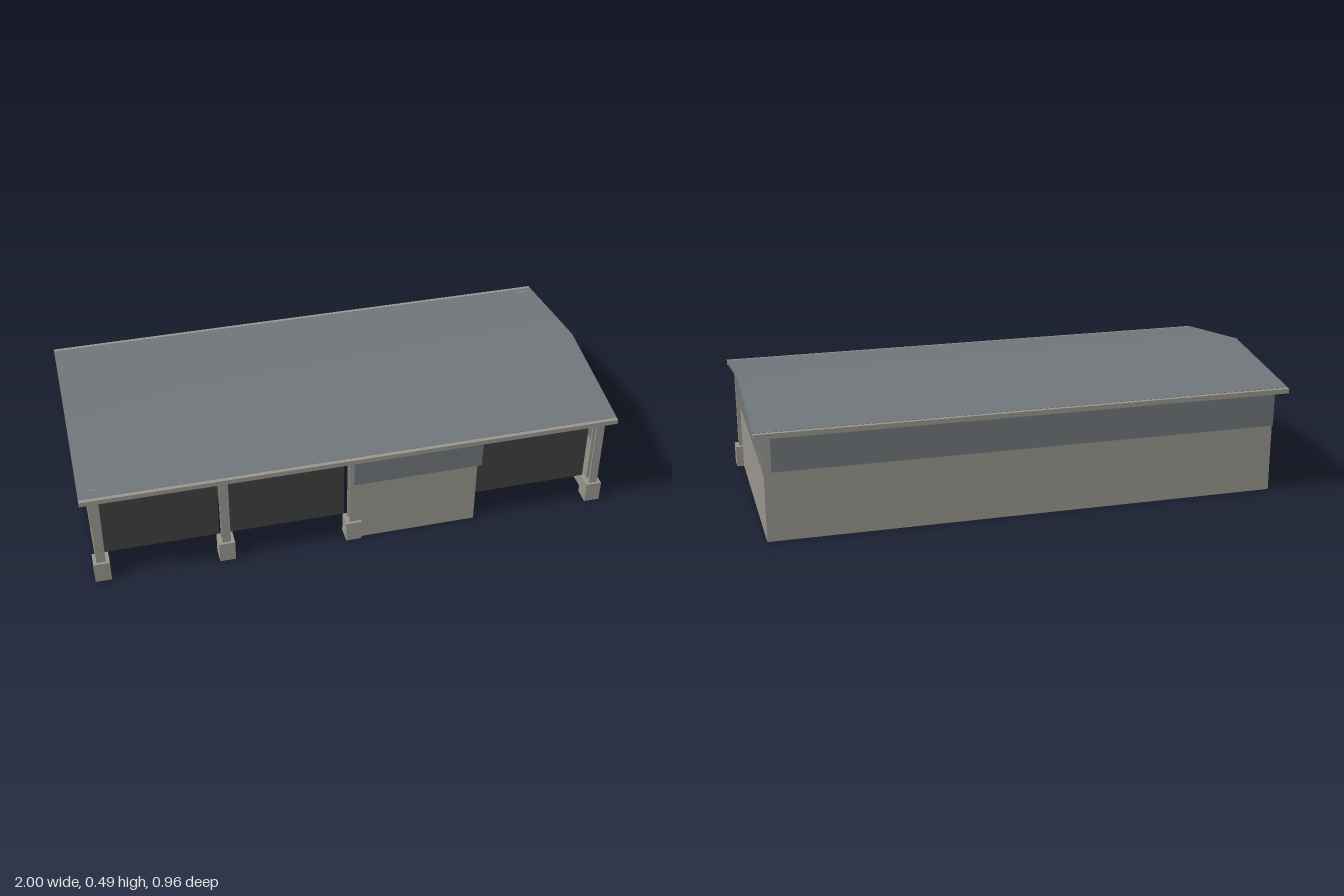
import * as THREE from 'three';

const mat = (name, color) => Object.assign(new THREE.MeshStandardMaterial({ color }), { name });

export function createModel() {
  const group = new THREE.Group();
  const concrete = mat('warm grey concrete', 0x98958d);
  const cladding = mat('slate cladding', 0x71767b);
  const dark = mat('charcoal', 0x3f3f3f);

  const add = (name, geometry, material, parent = group) => {
    const mesh = new THREE.Mesh(geometry, material);
    mesh.name = name;
    parent.add(mesh);
    return mesh;
  };

  // box given by its limits on each axis
  const box = (name, material, [x0, x1], [y0, y1], [z0, z1], parent) => {
    const g = new THREE.BoxGeometry(x1 - x0, y1 - y0, z1 - z0);
    g.translate((x0 + x1) / 2, (y0 + y1) / 2, (z0 + z1) / 2);
    return add(name, g, material, parent);
  };

  // outline in (z, y) extruded along x
  const extrudeX = (name, material, points, x0, x1) => {
    const shape = new THREE.Shape(points.map(([z, y]) => new THREE.Vector2(-z, y)));
    const g = new THREE.ExtrudeGeometry(shape, { depth: x1 - x0, bevelEnabled: false });
    g.rotateY(Math.PI / 2).translate(x0, 0, 0);
    return add(name, g, material);
  };

  // roof slab
  const eave = 0.465, slope = 0.146, apex = 0.489;
  const roofY = (z) => apex - slope * Math.abs(z);
  extrudeX('roofSlab', cladding, [
    [-eave, roofY(eave) - 0.012], [0, apex - 0.012], [eave, roofY(eave) - 0.012],
    [eave, roofY(eave)], [0, apex], [-eave, roofY(eave)],
  ], -1, 1);

  // roof skin, shaded smoothly over the ridge
  const skin = new THREE.PlaneGeometry(2, eave * 2, 1, 2).rotateX(-Math.PI / 2);
  const p = skin.attributes.position;
  for (let i = 0; i < p.count; i++) p.setY(i, roofY(p.getZ(i)) + 0.001);
  skin.computeVertexNormals();
  add('roofSkin', skin, cladding);

  // gutters along both eaves
  for (const s of [-1, 1]) {
    const z = s * 0.473;
    box('gutter', concrete, [-1, 1], [0.402, 0.42], [z - 0.008, z + 0.008]);
  }

  // end walls: masonry below, gable cladding above
  const gableY = (z) => 0.473 - slope * Math.abs(z);
  for (const s of [-1, 1]) {
    const front = s > 0 ? 0.395 : 0.427;
    const span = (a, b) => (s > 0 ? [a, b] : [-b, -a]);
    box('endWallLower', concrete, span(0.948, 0.965), [0, 0.26], [-0.427, front]);
    const [x0, x1] = span(0.95, 0.968);
    extrudeX('endWallGable', cladding, [
      [-0.43, 0.26], [front, 0.26], [front, gableY(front)], [0, gableY(0)], [-0.43, gableY(0.43)],
    ], x0, x1);
  }

  // back wall
  box('backWallLower', concrete, [-0.965, 0.965], [0, 0.26], [-0.427, -0.412]);
  box('backWallUpper', cladding, [-0.968, 0.968], [0.26, 0.412], [-0.43, -0.414]);

  // front wall panel
  box('frontPanelLower', concrete, [0, 0.478], [0, 0.26], [0.415, 0.427]);
  box('frontPanelUpper', cladding, [0, 0.495], [0.26, 0.41], [0.417, 0.43]);

  // corner trims, on two opposite corners
  for (const s of [-1, 1]) {
    const x = s * 0.954, z = -s * 0.432;
    box('cornerTrim', concrete, [x - 0.016, x + 0.016], [0.26, 0.428], [z - 0.002, z + 0.002]);
  }

  // steel columns with flanges and a web, on block footings
  for (const x of [-0.947, -0.484, 0, 0.962]) {
    const column = new THREE.Group();
    column.name = 'column';
    column.position.x = x;
    group.add(column);
    box('footing', concrete, [-0.03, 0.03], [0, 0.082], [0.376, 0.438], column);
    box('frontFlange', concrete, [-0.016, 0.016], [0.08, 0.415], [0.421, 0.428], column);
    box('rearFlange', concrete, [-0.016, 0.016], [0.08, 0.418], [0.391, 0.398], column);
    box('web', concrete, [-0.004, 0.004], [0.08, 0.415], [0.398, 0.421], column);
  }

  // beam over the columns
  box('frontBeam', concrete, [-0.96, 0.97], [0.388, 0.408], [0.395, 0.418]);

  // dark bay volumes behind the openings
  for (const span of [[-0.93, -0.5], [-0.47, -0.02], [0.495, 0.946]]) {
    box('bay', dark, span, [0.068, 0.388], [-0.02, 0.36]);
  }

  return group;
}
